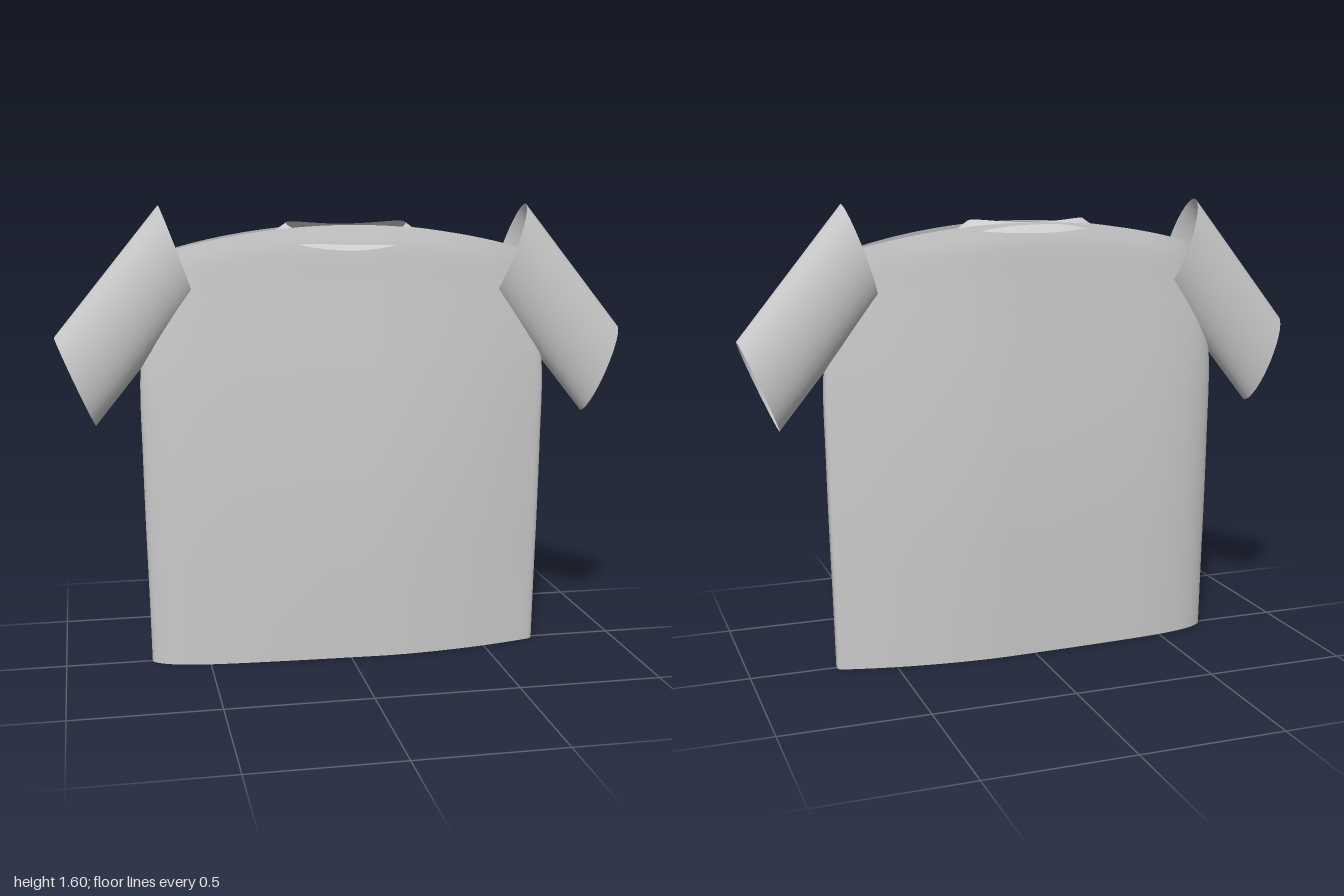
import * as THREE from 'three';

const material = new THREE.MeshStandardMaterial({ color: 0xcccccc, side: THREE.DoubleSide });

// Open tube of cloth: point(u, v) with u running round the loop, v along it
function loft(name, cols, rows, point) {
  const pos = [], index = [];
  for (let j = 0; j <= rows; j++)
    for (let i = 0; i < cols; i++) pos.push(...point(i / cols, j / rows));
  for (let j = 0; j < rows; j++)
    for (let i = 0; i < cols; i++) {
      const a = j * cols + i, b = j * cols + (i + 1) % cols;
      index.push(a, a + cols, b, b, a + cols, b + cols);
    }
  const geometry = new THREE.BufferGeometry();
  geometry.setAttribute('position', new THREE.Float32BufferAttribute(pos, 3));
  geometry.setIndex(index);
  geometry.computeVertexNormals();
  const mesh = new THREE.Mesh(geometry, material);
  mesh.name = name;
  return mesh;
}

// Half outline of the torso, from its left tip (+x) to its right tip
const half = [[1, 0], [0.985, 0.22], [0.9, 0.38], [0.7, 0.67], [0.45, 0.9], [0.22, 1], [0, 0.97],
  [-0.35, 0.89], [-0.7, 0.75], [-0.87, 0.56], [-0.97, 0.28], [-1, 0]];
const outline = new THREE.CatmullRomCurve3(
  [...half, ...half.slice(1, -1).reverse().map(([x, z]) => [x, -z])]
    .map(([x, z]) => new THREE.Vector3(x, 0, z)), true);

// Height, half width and half depth up the torso
const profile = new THREE.CatmullRomCurve3([
  [0, 0.7, 0.105], [0.25, 0.705, 0.111], [0.5, 0.711, 0.115], [0.75, 0.715, 0.113],
  [1, 0.717, 0.105], [1.2, 0.7, 0.096], [1.35, 0.67, 0.089], [1.46, 0.65, 0.083], [1.53, 0.64, 0.07],
].map((p) => new THREE.Vector3(...p)));

export function createModel() {
  const shirt = new THREE.Group();
  shirt.name = 'shirt';

  // Torso, open at hem and shoulders, with an arched top edge
  shirt.add(loft('torso', 88, 32, (u, v) => {
    const o = outline.getPoint(u), p = profile.getPoint(v);
    const x = o.x * p.y;
    const drop = 0.22 * x * x * Math.max(0, (p.x - 1) / 0.53);
    return [x, p.x - drop, o.z * p.z];
  }));

  // Sleeves, from cuff up to shoulder
  const mix = THREE.MathUtils.lerp;
  for (const side of [1, -1])
    shirt.add(loft(side > 0 ? 'leftSleeve' : 'rightSleeve', 32, 4, (u, v) => {
      const c = Math.cos(u * 2 * Math.PI), s = Math.sin(u * 2 * Math.PI);
      return [
        side * (mix(0.935, 0.585, v) + c * mix(0.065, 0.058, v)),
        mix(1.007, 1.438, v) + c * mix(0.153, 0.16, v),
        side * s * mix(0.075, 0.087, v),
      ];
    }));

  // Neckband, dipping at the front
  shirt.add(loft('collar', 48, 2, (u, v) => {
    const c = Math.cos(u * 2 * Math.PI), s = Math.sin(u * 2 * Math.PI);
    return [c * mix(0.26, 0.21, v), 1.5 - 0.025 * s - 0.03 * s * s + 0.035 * v, s * mix(0.102, 0.06, v)];
  }));

  return shirt;
}
